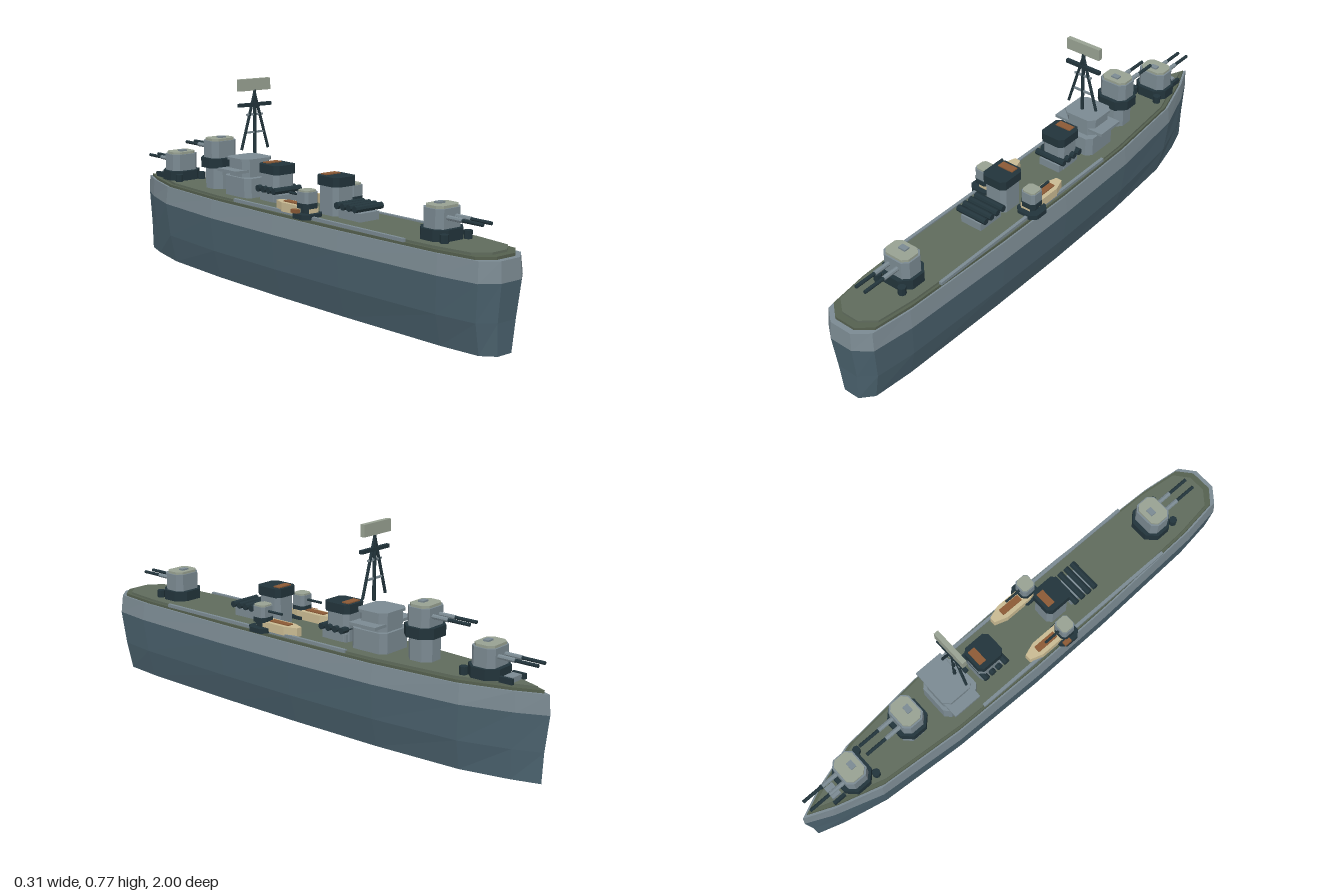
import * as THREE from 'three';

const mat = (name, color, flat = true) => {
  const m = new THREE.MeshStandardMaterial({ color });
  m.name = name;
  m.flatShading = flat;
  return m;
};

// Half outline of the hull from stern to bow: [half width, z]
const OUTLINE = [[0.047, 1], [0.105, 0.955], [0.126, 0.8], [0.143, 0.35], [0.147, 0],
  [0.139, -0.38], [0.108, -0.72], [0.048, -0.9]];

// One closed horizontal ring of the hull shape
function ring(y, sx, sz, inset = 0) {
  const side = OUTLINE.map(([x, z]) => [Math.max(x * sx - inset, 0.01), z * sz]);
  return [...side, [0, -sz], ...side.slice().reverse().map(([x, z]) => [-x, z])]
    .map(([x, z]) => new THREE.Vector3(x, y, z));
}

// Skin through rings, with optional flat caps
function loft(rings, bottom, top) {
  const p = [];
  const n = rings[0].length;
  for (let i = 0; i < n; i++) {
    const j = (i + 1) % n;
    for (let r = 0; r + 1 < rings.length; r++) {
      const [a, b] = [rings[r], rings[r + 1]];
      p.push(a[i], a[j], b[j], a[i], b[j], b[i]);
    }
    const lo = rings[0], hi = rings[rings.length - 1];
    if (bottom) p.push(new THREE.Vector3(0, lo[0].y, 0), lo[j], lo[i]);
    if (top) p.push(new THREE.Vector3(0, hi[0].y, 0), hi[i], hi[j]);
  }
  const g = new THREE.BufferGeometry().setFromPoints(p);
  g.computeVertexNormals();
  return g;
}

// Upright block with cut corners, base at y = 0
function chamferBlock(w, h, d, c) {
  const x = w / 2, z = d / 2;
  const s = new THREE.Shape([[x, -z + c], [x, z - c], [x - c, z], [-x + c, z], [-x, z - c],
    [-x, -z + c], [-x + c, -z], [x - c, -z]].map(([a, b]) => new THREE.Vector2(a, b)));
  return new THREE.ExtrudeGeometry(s, { depth: h, bevelEnabled: false }).rotateX(-Math.PI / 2);
}

export function createModel() {
  const M = {
    lower: mat('lowerHullSlate', 0x4b626e), grey: mat('shipGrey', 0x7b8a92),
    deck: mat('deckGreen', 0x5f6b5c), rim: mat('deckEdgeGreen', 0x55604f),
    dark: mat('darkSteel', 0x22343b), roof: mat('paleRoof', 0x98a192),
    tan: mat('boatTan', 0xc9ba92), brown: mat('rustBrown', 0x8c5a36),
  };
  const ship = new THREE.Group();
  ship.name = 'warship';

  const add = (parent, name, geo, m, x = 0, y = 0, z = 0) => {
    const mesh = new THREE.Mesh(geo, m);
    mesh.name = name;
    mesh.position.set(x, y, z);
    parent.add(mesh);
    return mesh;
  };
  const box = (parent, name, m, w, h, d, x, y, z) =>
    add(parent, name, new THREE.BoxGeometry(w, h, d), m, x, y, z);
  const block = (parent, name, m, w, h, d, c, x, y, z) =>
    add(parent, name, chamferBlock(w, h, d, c), m, x, y, z);
  const rod = (parent, name, m, a, b, r, sides = 8) => {
    const va = new THREE.Vector3(...a), vb = new THREE.Vector3(...b);
    const mesh = add(parent, name, new THREE.CylinderGeometry(r, r, va.distanceTo(vb), sides), m);
    mesh.position.copy(va).add(vb).multiplyScalar(0.5);
    mesh.quaternion.setFromUnitVectors(new THREE.Vector3(0, 1, 0), vb.sub(va).normalize());
    return mesh;
  };
  const group = (name, x, y, z) => {
    const g = new THREE.Group();
    g.name = name;
    g.position.set(x, y, z);
    ship.add(g);
    return g;
  };

  // Hull and decks
  const belt = ring(0.24, 1, 1);
  add(ship, 'lowerHull', loft([ring(0, 0.68, 0.98), ring(0.11, 0.9, 0.985), belt], true, false), M.lower);
  add(ship, 'upperHull', loft([belt, ring(0.31, 0.94, 0.995)], false, true), M.grey);
  add(ship, 'deckEdge', loft([ring(0.31, 0.9, 0.975), ring(0.32, 0.9, 0.975)], false, true), M.rim);
  add(ship, 'deck', loft([ring(0.32, 0.9, 0.95, 0.008), ring(0.328, 0.9, 0.95, 0.008)], false, true), M.deck);
  for (const s of [-1, 1]) {
    box(ship, 'sideRail', M.grey, 0.012, 0.012, 0.9, s * 0.119, 0.327, 0.2);
  }

  // Main turrets: dir is the way the barrels point along z
  function mainTurret(name, z, lift, dir) {
    const t = group(name, 0, lift, z);
    block(t, 'turretRing', M.dark, 0.14, 0.038, 0.125, 0.035, 0, 0, 0);
    block(t, 'gunHouse', M.grey, 0.116, 0.066, 0.092, 0.02, 0, 0.038, 0);
    block(t, 'gunHouseRoof', M.roof, 0.104, 0.009, 0.08, 0.018, 0, 0.104, 0);
    box(t, 'roofHatch', M.grey, 0.03, 0.006, 0.022, 0, 0.116, -0.01 * dir);
    for (const s of [-1, 1]) {
      rod(t, 'barrelSleeve', M.grey, [s * 0.02, 0.075, dir * 0.04], [s * 0.02, 0.075, dir * 0.11], 0.0085);
      rod(t, 'barrel', M.dark, [s * 0.02, 0.075, dir * 0.1], [s * 0.02, 0.075, dir * 0.195], 0.0065);
    }
    return t;
  }
  for (const [name, z, dir] of [['aftTurret', 0.7, 1], ['foreTurret', -0.765, -1]]) {
    const t = mainTurret(name, z, 0.328, dir);
    for (const s of [-1, 1]) {
      add(t, 'bollard', new THREE.CylinderGeometry(0.015, 0.015, 0.028, 8), M.dark, s * 0.055, 0.014, 0.065);
    }
  }
  mainTurret('raisedTurret', -0.5, 0.412, -1);
  block(ship, 'raisedTurretPedestal', M.grey, 0.1, 0.086, 0.1, 0.026, 0, 0.326, -0.5);

  // Bow winch and bollards
  box(ship, 'anchorWinch', M.grey, 0.05, 0.02, 0.035, 0, 0.336, -0.855);
  for (const s of [-1, 1]) {
    box(ship, 'bowCleat', M.dark, 0.012, 0.02, 0.05, s * 0.038, 0.336, -0.855);
  }

  // Bridge
  block(ship, 'bridgeBase', M.grey, 0.15, 0.076, 0.155, 0.02, 0, 0.326, -0.305);
  block(ship, 'bridgeHouse', M.grey, 0.13, 0.06, 0.12, 0.022, 0, 0.402, -0.312);
  box(ship, 'bridgeWings', M.grey, 0.216, 0.011, 0.115, 0, 0.426, -0.312);
  block(ship, 'bridgeRoof', M.grey, 0.142, 0.01, 0.132, 0.022, 0, 0.462, -0.312);

  // Tripod mast with radar
  const mz = -0.277;
  rod(ship, 'mastPole', M.dark, [0, 0.49, mz], [0, 0.73, mz], 0.0065);
  for (const s of [-1, 1]) {
    rod(ship, 'mastLeg', M.dark, [s * 0.063, 0.506, mz], [0, 0.718, mz], 0.0055);
  }
  box(ship, 'mastYard', M.dark, 0.15, 0.013, 0.014, 0, 0.674, mz);
  box(ship, 'upperMastBrace', M.grey, 0.075, 0.007, 0.007, 0, 0.637, mz);
  box(ship, 'lowerMastBrace', M.grey, 0.086, 0.007, 0.007, 0, 0.57, mz);
  box(ship, 'radarPanel', M.roof, 0.144, 0.044, 0.018, 0, 0.749, -0.281);

  // Funnels
  for (const [z, name] of [[-0.143, 'foreFunnel'], [0.187, 'aftFunnel']]) {
    const f = group(name, 0, 0.326, z);
    block(f, 'funnelBody', M.grey, 0.094, 0.108, 0.1, 0.016, 0, 0, 0);
    block(f, 'funnelCap', M.dark, 0.104, 0.034, 0.114, 0.016, 0, 0.106, 0);
    box(f, 'funnelOpening', M.brown, 0.064, 0.006, 0.03, 0, 0.141, -0.03);
  }

  // Tube banks lying across the deck
  for (const [z, name] of [[-0.135, 'foreTubeBank'], [0.305, 'aftTubeBank']]) {
    const b = group(name, 0, 0.328, z);
    box(b, 'tubePlatform', M.grey, 0.09, 0.03, 0.11, 0, 0.015, 0);
    for (let i = 0; i < 4; i++) {
      const tz = (i - 1.5) * 0.031;
      rod(b, 'tube', M.dark, [-0.064, 0.046, tz], [0.064, 0.046, tz], 0.0125);
    }
  }

  // Ship's boats and secondary guns on both sides
  const hullShape = new THREE.Shape([[-0.02, -0.095], [0.02, -0.095], [0.029, -0.06], [0.029, 0.05],
    [0.012, 0.1], [-0.012, 0.1], [-0.029, 0.05], [-0.029, -0.06]].map(([a, b]) => new THREE.Vector2(a, b)));
  const boatGeo = new THREE.ExtrudeGeometry(hullShape, { depth: 0.033, bevelEnabled: false }).rotateX(-Math.PI / 2);
  for (const s of [-1, 1]) {
    const b = group('boat', s * 0.097, 0.328, 0.085);
    add(b, 'boatHull', boatGeo, M.tan);
    box(b, 'boatInterior', M.brown, 0.026, 0.006, 0.09, 0, 0.034, -0.012);

    const g = group('secondaryGun', s * 0.107, 0.322, 0.155);
    block(g, 'gunPlatform', M.dark, 0.094, 0.018, 0.09, 0.02, 0, 0, 0);
    block(g, 'gunRing', M.dark, 0.066, 0.018, 0.066, 0.016, 0, 0.036, 0);
    block(g, 'gunPost', M.dark, 0.045, 0.02, 0.045, 0.012, 0, 0.017, 0);
    block(g, 'gunShield', M.grey, 0.06, 0.04, 0.058, 0.01, 0, 0.054, 0);
    block(g, 'gunRoof', M.roof, 0.054, 0.006, 0.052, 0.01, 0, 0.094, 0);
    rod(g, 'gunBarrel', M.dark, [0, 0.076, -0.025], [0, 0.076, -0.095], 0.005);
  }
  box(ship, 'lockerBox', M.brown, 0.018, 0.013, 0.03, -0.145, 0.347, 0.135);

  return ship;
}
